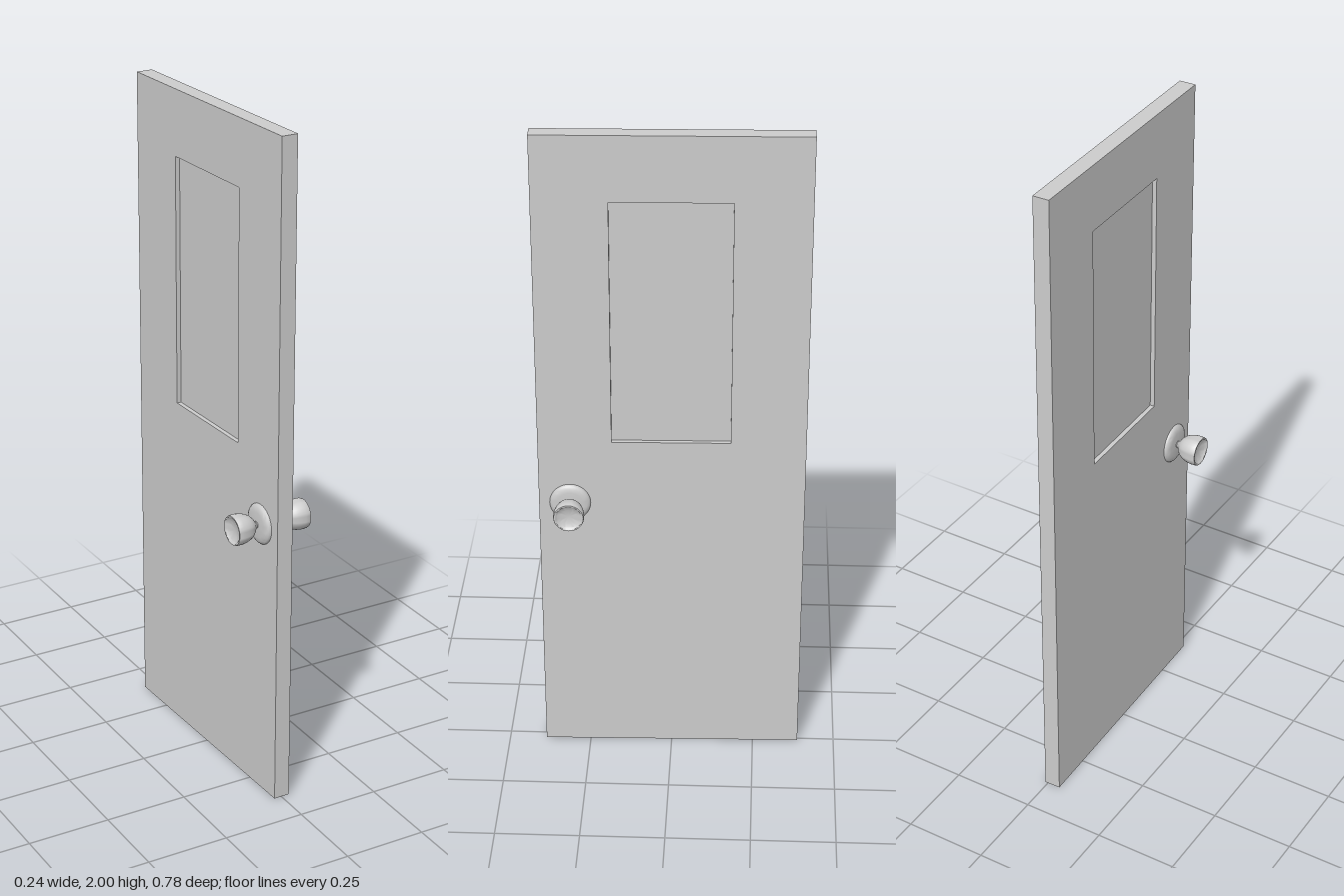
import * as THREE from 'three';
import { toCreasedNormals } from 'three/addons/utils/BufferGeometryUtils.js';

const WIDTH = 0.776, HEIGHT = 2, THICK = 0.049;

// Turned part: [radius, distance from the door's middle] along local +x
function turned(points, material, name) {
  const profile = points.map(([r, d]) => new THREE.Vector2(r, d));
  const geometry = toCreasedNormals(new THREE.LatheGeometry(profile, 32), 0.7);
  geometry.rotateZ(-Math.PI / 2);
  const mesh = new THREE.Mesh(geometry, material);
  mesh.name = name;
  return mesh;
}

export function createModel() {
  const model = new THREE.Group();
  model.name = 'door';
  const grey = new THREE.MeshStandardMaterial({ color: 0xcccccc });
  grey.name = 'light grey';

  // Everything hangs on a leaf that stands slightly ajar
  const leaf = new THREE.Group();
  leaf.name = 'doorLeaf';
  leaf.position.x = -0.007;
  leaf.rotation.y = 0.0215;
  model.add(leaf);

  // Slab with a window opening, drawn in (-z, y) and extruded along x
  const slabShape = new THREE.Shape([
    [-WIDTH / 2, 0], [WIDTH / 2, 0], [WIDTH / 2, HEIGHT], [-WIDTH / 2, HEIGHT],
  ].map(([x, y]) => new THREE.Vector2(x, y)));
  slabShape.holes.push(new THREE.Path([
    [-0.174, 1.055], [-0.174, 1.805], [0.17, 1.805], [0.17, 1.055],
  ].map(([x, y]) => new THREE.Vector2(x, y))));
  const slabGeometry = new THREE.ExtrudeGeometry(slabShape, { depth: THICK, bevelEnabled: false });
  slabGeometry.translate(0, 0, -THICK / 2);
  slabGeometry.rotateY(Math.PI / 2);
  const slab = new THREE.Mesh(slabGeometry, grey);
  slab.name = 'slab';
  leaf.add(slab);

  // Recessed pane
  const pane = new THREE.Mesh(new THREE.BoxGeometry(0.022, 0.75, 0.344), grey);
  pane.name = 'windowPane';
  pane.position.set(0, 1.43, 0.002);
  leaf.add(pane);

  // Matching knobs on both faces
  for (const side of [0, 1]) {
    const knob = new THREE.Group();
    knob.name = side ? 'rightKnob' : 'leftKnob';
    knob.position.set(0, 0.853, 0.297);
    knob.rotation.y = side * Math.PI;
    knob.add(
      turned([[0.06, 0.022], [0.06, 0.027], [0.056, 0.032], [0.049, 0.036],
        [0.038, 0.038], [0, 0.038]], grey, 'rose'),
      turned([[0.012, 0.034], [0.009, 0.04], [0.014, 0.046], [0.024, 0.053],
        [0.033, 0.062], [0.039, 0.073], [0.043, 0.086], [0.045, 0.1],
        [0.0445, 0.114], [0.043, 0.118], [0.039, 0.118], [0.034, 0.113],
        [0.022, 0.108], [0, 0.106]], grey, 'handle'),
    );
    leaf.add(knob);
  }
  return model;
}
